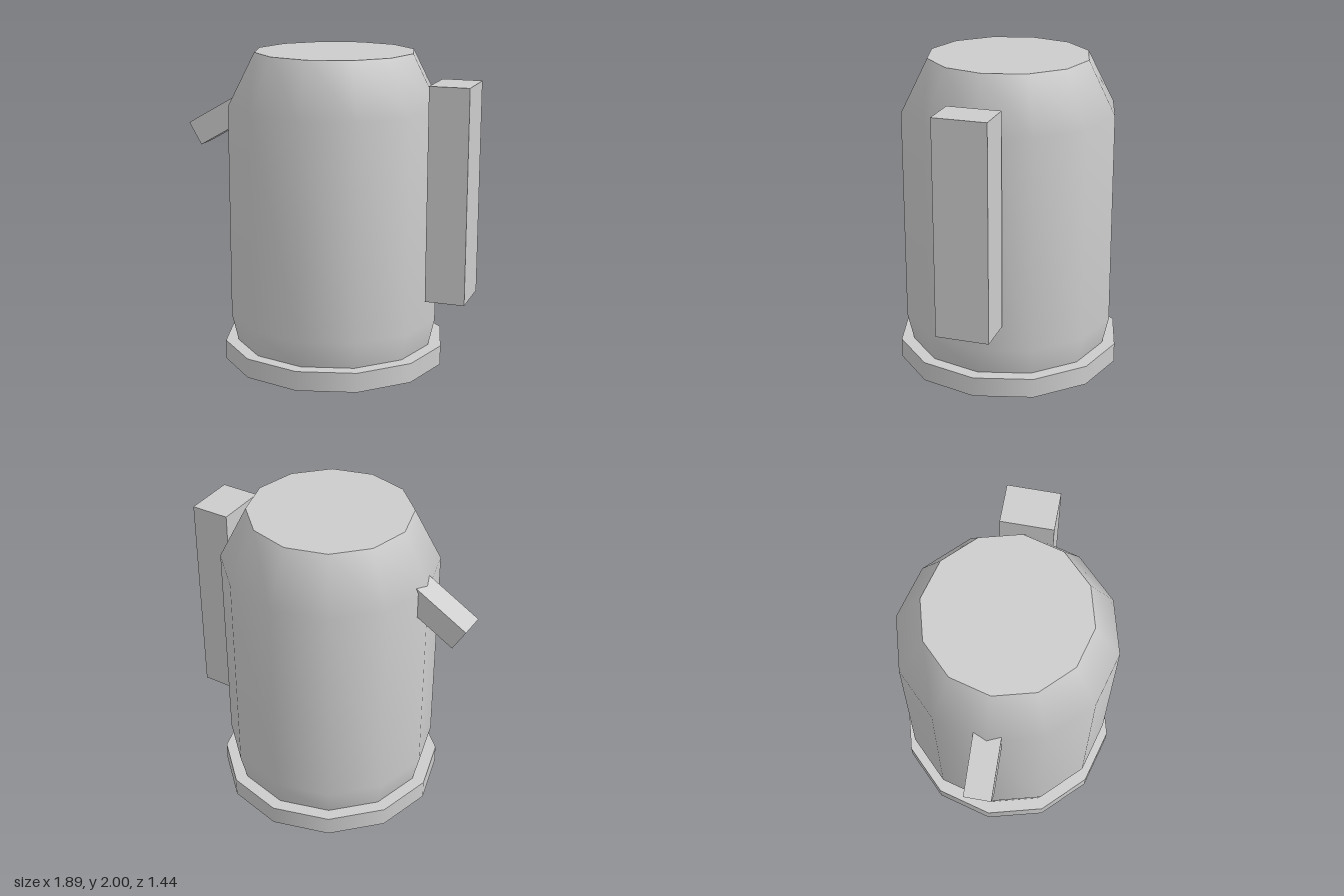
import * as THREE from 'three';

const SIDES = 12;
const AXIS_X = 0.035; // the body sits slightly off centre to balance the handle and spout

export function createModel() {
  const kettle = new THREE.Group();
  kettle.name = 'kettle';
  const grey = new THREE.MeshStandardMaterial({ color: 0xcccccc });
  grey.name = 'light grey';

  const add = (name, geometry, x, y) => {
    const mesh = new THREE.Mesh(geometry, grey);
    mesh.name = name;
    mesh.position.set(x, y, 0);
    kettle.add(mesh);
    return mesh;
  };

  // Flat disc the kettle stands on
  add('base', new THREE.CylinderGeometry(0.722, 0.722, 0.125, SIDES), AXIS_X, 0.0625);

  // Body with tapered foot and shoulder
  const profile = [[0.638, 0.12], [0.68, 0.3], [0.68, 1.665], [0.51, 2]]
    .map(([r, y]) => new THREE.Vector2(r, y));
  add('body', new THREE.LatheGeometry(profile, SIDES), AXIS_X, 0);

  // Flat top
  add('lid', new THREE.CircleGeometry(0.51, SIDES).rotateX(-Math.PI / 2), AXIS_X, 2);

  // Block handle on the left
  add('handle', new THREE.BoxGeometry(0.252, 1.36, 0.336), 0.817, 1.15);

  // Short spout sloping down and outward on the right
  const spout = add('spout', new THREE.BoxGeometry(0.39, 0.165, 0.168), -0.736, 1.526);
  spout.rotation.z = Math.PI / 6;

  return kettle;
}
